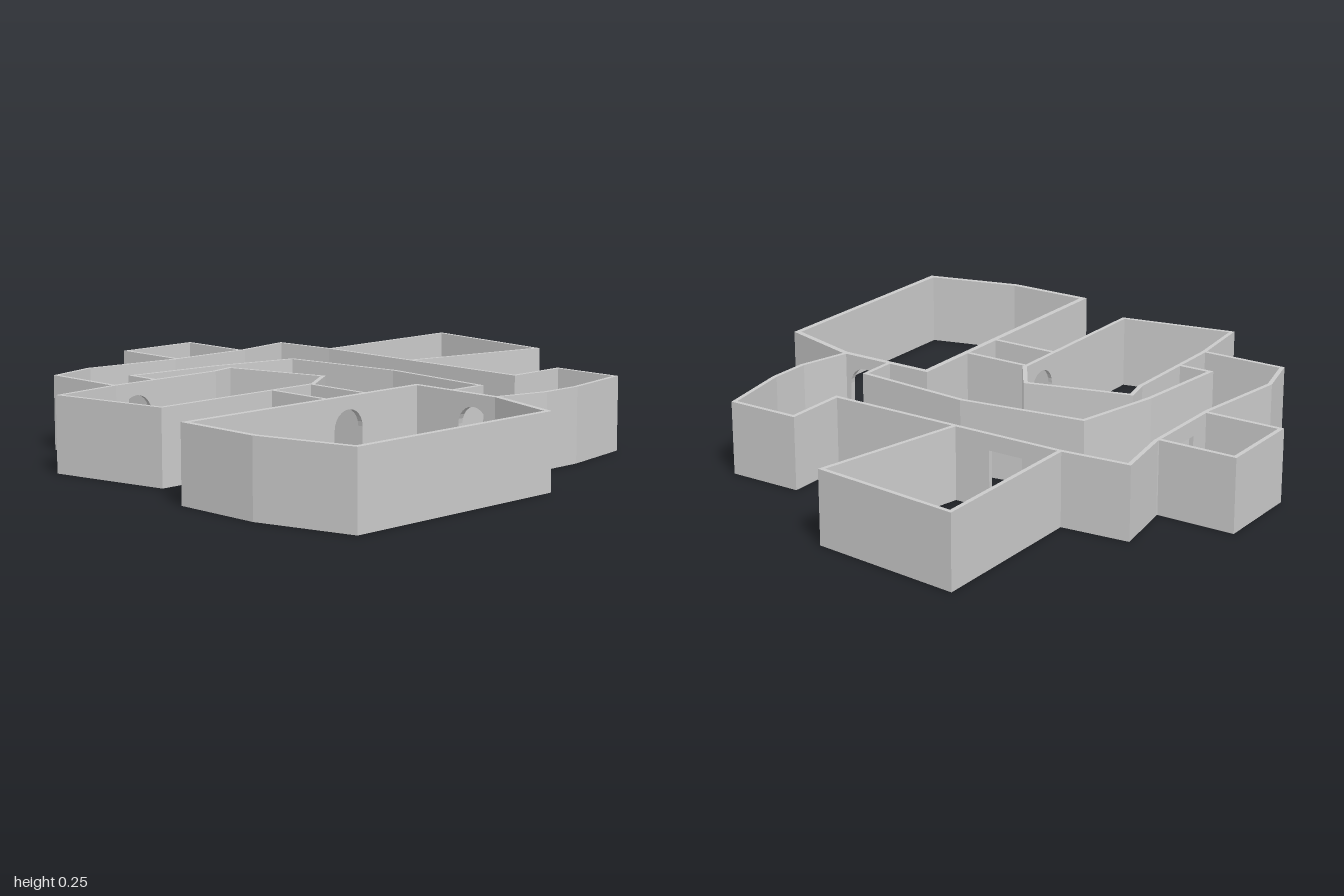
import * as THREE from 'three';

const HEIGHT = 0.255;
const DOOR_HALF = 0.063;
const material = new THREE.MeshStandardMaterial({ color: 0xcccccc, flatShading: true });

// Elevation of one wall, with an optional doorway cut up from the ground
function wallShape(length, door) {
  const s = new THREE.Shape();
  s.moveTo(0, 0);
  if (door) {
    const c = door.t * length;
    s.lineTo(c - DOOR_HALF, 0);
    if (door.arched) {
      s.absarc(c, 0.15, DOOR_HALF, Math.PI, 0, true);
    } else {
      s.lineTo(c - DOOR_HALF, 0.2);
      s.lineTo(c + DOOR_HALF, 0.2);
    }
    s.lineTo(c + DOOR_HALF, 0);
  }
  s.lineTo(length, 0);
  s.lineTo(length, HEIGHT);
  s.lineTo(0, HEIGHT);
  s.closePath();
  return s;
}

// Walls along a plan path of [x, z] points, mitred where they meet
function buildWalls(name, points, { closed = false, thickness = 0.015, doors = {} } = {}) {
  const group = new THREE.Group();
  group.name = name;
  const pts = points.map(([x, z]) => new THREE.Vector2(x, z));
  const count = closed ? pts.length : pts.length - 1;
  const dirs = [];
  for (let i = 0; i < count; i++) {
    dirs.push(pts[(i + 1) % pts.length].clone().sub(pts[i]).normalize());
  }
  const normalOf = (d) => new THREE.Vector2(-d.y, d.x);
  // Slant of the mitre: shift along the wall per unit of sideways offset
  const slant = (i, j) => {
    if (!closed && (j < 0 || j >= count)) return 0;
    const n = normalOf(dirs[i]);
    const m = n.clone().add(normalOf(dirs[(j + count) % count]));
    return m.dot(dirs[i]) / m.dot(n);
  };

  for (let i = 0; i < count; i++) {
    const a = pts[i], d = dirs[i];
    const length = a.distanceTo(pts[(i + 1) % pts.length]);
    const geo = new THREE.ExtrudeGeometry(wallShape(length, doors[i]), {
      depth: thickness, bevelEnabled: false, curveSegments: 6,
    });
    geo.translate(0, 0, -thickness / 2);
    const start = slant(i, i - 1), end = slant(i, i + 1);
    const pos = geo.attributes.position;
    for (let v = 0; v < pos.count; v++) {
      const x = pos.getX(v), z = pos.getZ(v);
      if (x < 1e-4) pos.setX(v, x + z * start);
      else if (x > length - 1e-4) pos.setX(v, x + z * end);
    }
    geo.computeVertexNormals();
    const frame = new THREE.Matrix4().makeBasis(
      new THREE.Vector3(d.x, 0, d.y),
      new THREE.Vector3(0, 1, 0),
      new THREE.Vector3(-d.y, 0, d.x),
    );
    geo.applyMatrix4(frame.setPosition(a.x, 0, a.y));
    const mesh = new THREE.Mesh(geo, material);
    mesh.name = doors[i] ? 'doorwayWall' : 'wall';
    group.add(mesh);
  }
  return group;
}

export function createModel() {
  const model = new THREE.Group();
  model.name = 'floorPlanWalls';

  model.add(
    // Large front room
    buildWalls('largeRoom', [
      [-0.99, 0.316], [0.013, 0.316], [0.013, 0.667], [-0.075, 0.95], [-0.903, 0.95], [-0.99, 0.62],
    ], {
      closed: true, thickness: 0.02,
      doors: { 0: { t: 0.675, arched: true }, 1: { t: 0.73, arched: true } },
    }),
    // Middle room
    buildWalls('middleRoom', [
      [-0.948, -0.343], [-0.7, -0.37], [-0.265, -0.37], [-0.174, -0.391],
      [-0.077, -0.032], [-0.215, 0.063], [-0.868, 0.063],
    ], {
      closed: true,
      doors: { 1: { t: 0.2, arched: true }, 5: { t: 0.15, arched: true } },
    }),
    // Outer corridor wall, with doorways to the back and side rooms
    buildWalls('corridorOuterWall', [
      [-0.7, -0.37], [-0.7, -0.676], [-0.525, -0.722], [-0.18, -0.676], [0.15, -0.676],
      [0.372, -0.714], [0.393, -0.475], [0.393, -0.072], [0.391, 0.41], [0.617, 0.41],
      [0.617, 0.66], [0.35, 0.708], [0.2, 0.708], [0.013, 0.66],
    ], { doors: { 3: { t: 0.5 }, 6: { t: 0.5 } } }),
    // Inner corridor wall
    buildWalls('corridorInnerWall', [
      [-0.525, -0.37], [-0.525, -0.492], [-0.18, -0.457], [0.121, -0.389],
      [0.183, 0.05], [0.15, 0.472], [0.013, 0.472],
    ]),
    // Small back room
    buildWalls('backRoom', [
      [-0.166, -0.676], [-0.166, -0.953], [0.135, -0.953], [0.135, -0.676],
    ]),
    // Side room
    buildWalls('sideRoom', [
      [0.393, -0.475], [0.986, -0.475], [0.931, 0.046], [0.393, -0.074],
    ]),
  );

  // Short passage between the middle and large rooms
  for (const x of [-0.4, -0.226]) {
    model.add(buildWalls('passageWall', [[x, 0.063], [x, 0.316]]));
  }
  return model;
}
